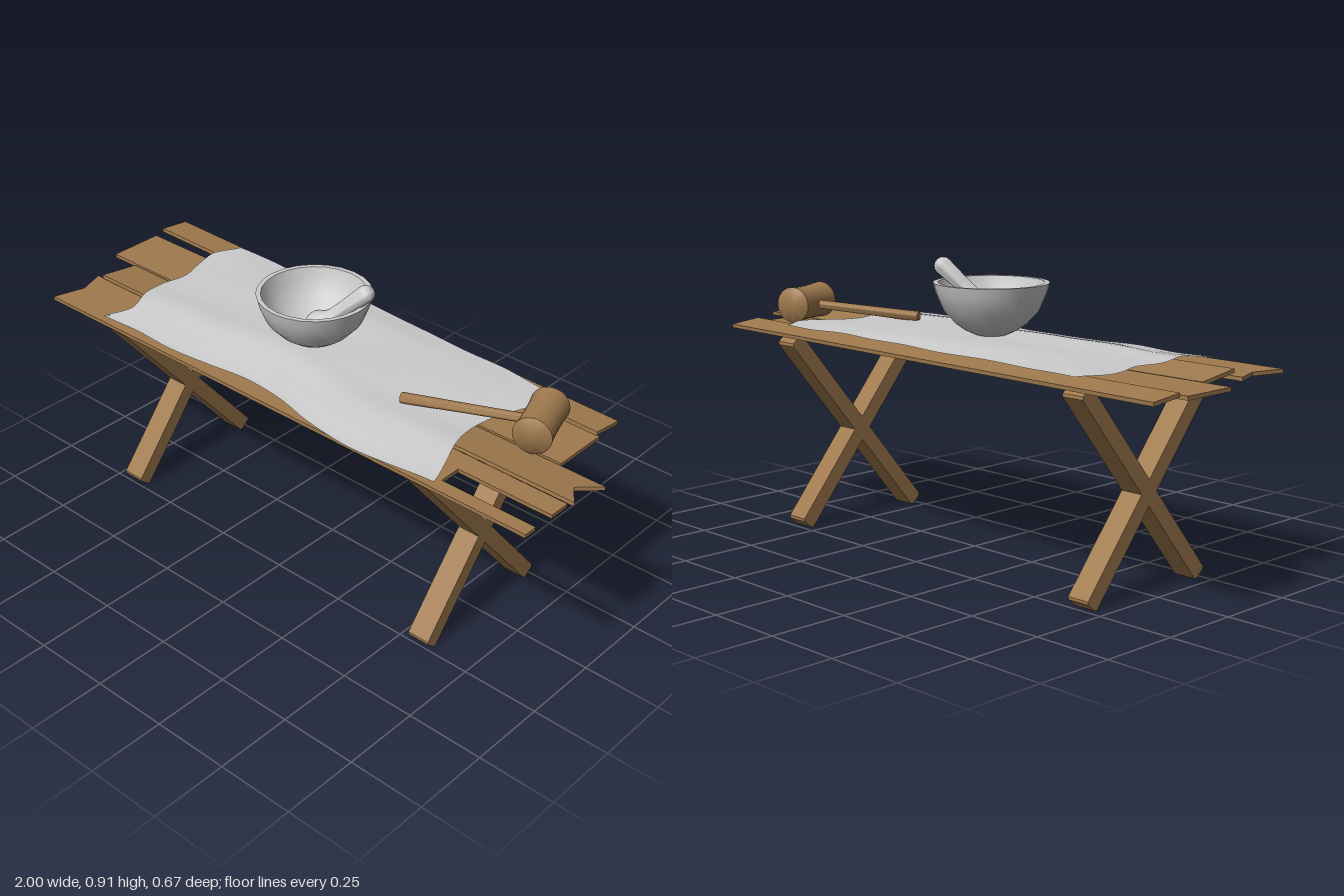
import * as THREE from 'three';
import { toCreasedNormals } from 'three/addons/utils/BufferGeometryUtils.js';
import { ParametricGeometry } from 'three/addons/geometries/ParametricGeometry.js';

const wood = new THREE.MeshStandardMaterial({ color: 0xa07a4e });
const grey = new THREE.MeshStandardMaterial({ color: 0xcccccc });
const cloth = new THREE.MeshStandardMaterial({ color: 0xcccccc, side: THREE.DoubleSide });

const v2 = (list) => list.map(([x, y]) => new THREE.Vector2(x, y));
const v3 = (x, y, z) => new THREE.Vector3(x, y, z);

function mesh(name, geometry, material) {
  const m = new THREE.Mesh(geometry, material);
  m.name = name;
  return m;
}

// Turned solid from [radius, height] pairs, creased at its hard edges
function turned(name, profile, material, segments = 28) {
  const g = new THREE.LatheGeometry(v2(profile), segments);
  return mesh(name, toCreasedNormals(g, 0.8), material);
}

// Stands a turned part at point a, aimed at point b
function aim(m, a, b) {
  m.position.copy(a);
  m.quaternion.setFromUnitVectors(v3(0, 1, 0), b.clone().sub(a).normalize());
  return m;
}

// Thin board outlined in x and z, with z measured from its own middle
function plank(name, outline, z, y, tilt = 0, yaw = 0) {
  const g = new THREE.ExtrudeGeometry(new THREE.Shape(v2(outline)), { depth: 0.012, bevelEnabled: false });
  g.rotateX(Math.PI / 2).translate(0, 0.006, 0);
  const m = mesh(name, g, wood);
  m.position.set(0, y, z);
  m.rotation.set(tilt, yaw, 0, 'YXZ');
  return m;
}

// Square bar with clipped end corners, leaning along z
function leg(x, side) {
  const w = 0.025, h = 0.4, c = 0.007;
  const outline = [[-w + c, -h], [w - c, -h], [w, -h + c], [w, h - c],
    [w - c, h], [-w + c, h], [-w, h - c], [-w, -h + c]];
  const g = new THREE.ExtrudeGeometry(new THREE.Shape(v2(outline)), { depth: 0.075, bevelEnabled: false });
  g.translate(0, 0, -0.0375).rotateY(Math.PI / 2);
  const m = mesh('leg', g, wood);
  m.position.set(x, 0.323, side * 0.016);
  m.rotation.x = side * 0.692;
  return m;
}

// Smooth curve through evenly spaced values, read at t from 0 to 1
function smooth(values) {
  const curve = new THREE.SplineCurve(v2(values.map((v, i) => [i, v])));
  return (t) => curve.getPoint(Math.min(1, Math.max(0, t))).y;
}

// Wavy cloth: the top sheet runs back to front, then the underside returns
function tablecloth() {
  const back = smooth([-0.30, -0.30, -0.295, -0.30, -0.30, -0.29, -0.285, -0.275, -0.28, -0.265]);
  const front = smooth([0.30, 0.29, 0.30, 0.285, 0.27, 0.28, 0.315, 0.33, 0.32, 0.30]);
  const left = smooth([-0.69, -0.73, -0.715, -0.69, -0.705, -0.695, -0.665, -0.705]);
  const right = smooth([0.59, 0.63, 0.605, 0.575, 0.57, 0.59, 0.62, 0.645]);
  const slope = smooth([0.672, 0.674, 0.672, 0.671, 0.672, 0.676, 0.667, 0.658]);
  const rise = smooth([0.007, 0.014, 0.019, 0.019, 0.018, 0.014, 0.008, 0.002]);
  const surface = (u, v, target) => {
    const under = u > 0.5;
    const d = under ? 2 - 2 * u : 2 * u;
    const x = THREE.MathUtils.lerp(left(d), right(d), v);
    const z = THREE.MathUtils.lerp(back(v), front(v), d);
    const ripple = 0.002 * Math.sin(13 * x + 9 * z) * Math.sin(7 * x - 17 * z + 1);
    const y = slope(d) + rise(d) * Math.sin(Math.PI * v) + ripple;
    const thick = 0.006 * Math.min(1, 14 * v, 14 * (1 - v), 8 * d, 8 * (1 - d));
    target.set(x, under ? y - thick : y, z);
  };
  return mesh('cloth', new ParametricGeometry(surface, 56, 64), cloth);
}

export function createModel() {
  const model = new THREE.Group();
  model.name = 'table';

  // Broken, uneven top boards
  const top = new THREE.Group();
  top.name = 'tableTop';
  top.add(
    plank('backPlank', [[-0.92, -0.052], [0.92, -0.052], [0.92, 0.052], [-0.92, 0.052]], -0.265, 0.652, -0.11, -0.0217),
    plank('middleBackPlank', [[-1, -0.093], [0.845, -0.093], [0.845, 0.093], [-1, 0.093]], -0.107, 0.644),
    plank('middleFrontPlank', [[-0.895, -0.071], [1, -0.071], [0.945, 0.002], [0.995, 0.071], [-0.895, 0.071]], 0.065, 0.653, -0.14),
    plank('frontPlank', [[-0.93, -0.096], [0.97, -0.092], [0.97, -0.022], [0.65, -0.022], [0.65, 0.05],
      [0.97, 0.05], [0.97, 0.095], [-0.93, 0.095], [-0.9, -0.01]], 0.221, 0.644),
  );
  top.children[0].position.x = -0.08;
  model.add(top);

  // Crossed legs at each end
  for (const x of [-0.672, 0.573]) {
    const pair = new THREE.Group();
    pair.name = 'crossedLegs';
    pair.add(leg(x, 1), leg(x, -1));
    model.add(pair);
  }

  model.add(tablecloth());

  // Bowl with a hollow inside
  const bowl = turned('bowl', [[0, 0], [0.05, 0.001], [0.082, 0.016], [0.11, 0.036], [0.148, 0.077], [0.17, 0.13],
    [0.178, 0.161], [0.163, 0.161], [0.154, 0.13], [0.132, 0.086], [0.096, 0.048], [0.05, 0.027], [0, 0.023]], grey, 24);
  bowl.position.set(-0.08, 0.689, -0.007);
  model.add(bowl);

  // Pestle with a bulb at the foot and a rounded grip
  const foot = v3(-0.037, 0.765, 0.017), grip = v3(0.087, 0.888, -0.05);
  const len = foot.distanceTo(grip);
  const pestle = [];
  for (let i = 0; i <= 8; i++) {
    const a = -Math.PI / 2 + (i / 8) * 2.4;
    pestle.push([0.045 * Math.cos(a), 0.045 * Math.sin(a)]);
  }
  pestle.push([0.023, 0.055], [0.024, 0.11]);
  for (let i = 0; i <= 6; i++) {
    const a = (i / 6) * Math.PI / 2;
    pestle.push([0.028 * Math.cos(a), len + 0.028 * Math.sin(a)]);
  }
  model.add(aim(turned('pestle', pestle, grey, 20), foot, grip));

  // Mallet lying on the cloth
  const mallet = new THREE.Group();
  mallet.name = 'mallet';
  const head = turned('malletHead', [[0, 0], [0.052, 0], [0.059, 0.006], [0.056, 0.04], [0.055, 0.093],
    [0.056, 0.146], [0.059, 0.18], [0.052, 0.186], [0, 0.186]], wood);
  const handle = turned('malletHandle', [[0, 0], [0.014, 0], [0.017, 0.004], [0.015, 0.2], [0.014, 0.4], [0, 0.4]], wood, 16);
  mallet.add(
    aim(head, v3(0.76, 0.715, 0.016), v3(0.698, 0.715, -0.16)),
    aim(handle, v3(0.336, 0.692, 0.075), v3(0.73, 0.713, -0.072)),
  );
  model.add(mallet);

  return model;
}
